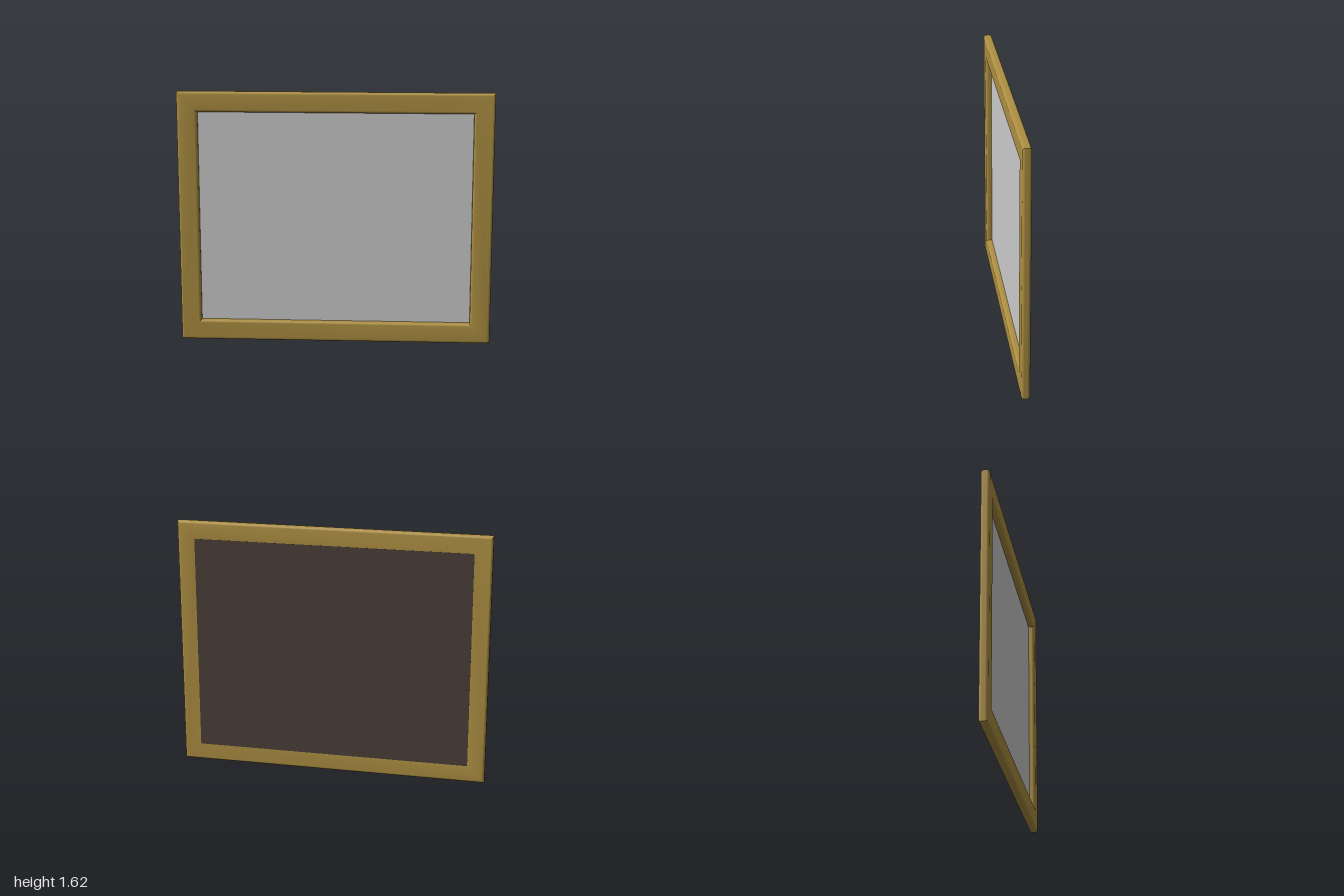
import * as THREE from 'three';
import { toCreasedNormals } from 'three/addons/utils/BufferGeometryUtils.js';

const W = 2, H = 1.625, DEPTH = 0.056;   // outer size
const RAIL = 0.13, ROUND = 0.018;        // rail width, edge rounding

// Rectangle outline around the middle of the frame
function rectangle(PathType, w, h) {
  return new PathType([
    new THREE.Vector2(-w / 2, -h / 2), new THREE.Vector2(w / 2, -h / 2),
    new THREE.Vector2(w / 2, h / 2), new THREE.Vector2(-w / 2, h / 2),
  ]);
}

function part(name, geometry, color, z) {
  const material = new THREE.MeshStandardMaterial({ color });
  const mesh = new THREE.Mesh(geometry, material);
  mesh.name = name;
  mesh.position.set(0, H / 2, z);
  return mesh;
}

export function createModel() {
  const group = new THREE.Group();
  group.name = 'pictureFrame';
  const openW = W - 2 * RAIL, openH = H - 2 * RAIL;

  // Wooden surround with rounded inner and outer edges
  const shape = rectangle(THREE.Shape, W, H);
  shape.holes.push(rectangle(THREE.Path, openW, openH));
  const surround = new THREE.ExtrudeGeometry(shape, {
    depth: DEPTH - 2 * ROUND,
    bevelThickness: ROUND,
    bevelSize: ROUND,
    bevelOffset: -ROUND,
    bevelSegments: 4,
  });
  surround.translate(0, 0, ROUND - DEPTH / 2);
  group.add(part('frame', toCreasedNormals(surround, 0.6), 0xad8f42, 0));

  // Blank picture, recessed in the opening
  group.add(part('picture', new THREE.BoxGeometry(openW, openH, 0.006), 0xcccccc, -0.013));

  // Dark backing board, level with the back of the frame
  const backing = new THREE.BoxGeometry(openW + 2 * ROUND, openH + 2 * ROUND, 0.013);
  group.add(part('backingBoard', backing, 0x4a3e37, -0.0225));

  return group;
}
